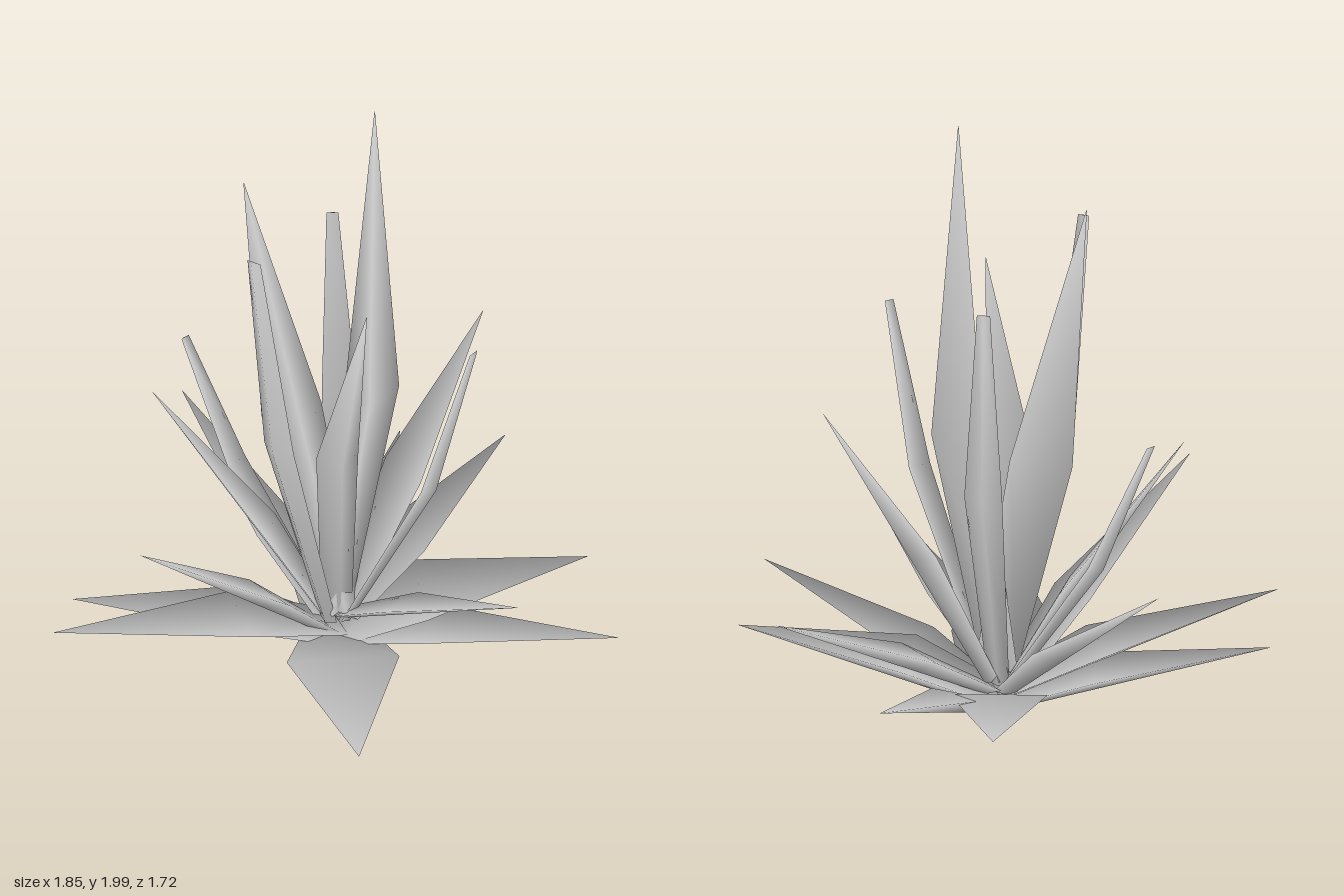
import * as THREE from 'three';

const CENTRE = new THREE.Vector3(-0.09, 0, 0.02);
const UP = new THREE.Vector3(0, 1, 0);

// One leaf: a closed three-sided spike with a flat inner face and a keel below,
// running root -> bend -> tip, smooth-shaded around its edges.
function leafGeometry({ tip, bend, root = 0, width, tipWidth = 0, depth = 0.55, rootWidth = 0.6 }) {
  const end = new THREE.Vector3(...tip);
  const out = end.clone().sub(CENTRE).setY(0).normalize();
  const start = CENTRE.clone().addScaledVector(out, root > 0.05 ? 0.06 : 0);
  start.y = root;
  const mid = bend ? new THREE.Vector3(...bend) : start.clone().lerp(end, 0.37);
  const side = new THREE.Vector3().crossVectors(UP, out);
  const keel = [start, mid, end];
  const half = [width * rootWidth, width, tipWidth || 0.001];
  const positions = [], normals = [];
  keel.forEach((point, i) => {
    const along = keel[Math.min(i + 1, 2)].clone().sub(keel[Math.max(i - 1, 0)]).normalize();
    const inner = new THREE.Vector3().crossVectors(along, side).normalize();
    // right edge, keel, left edge
    for (const u of [-1, 0, 1]) {
      const p = point.clone()
        .addScaledVector(side, half[i] * u)
        .addScaledVector(inner, half[i] * depth * Math.abs(u));
      positions.push(...p.toArray());
      // average of the faces meeting here, leaning towards the tip
      const n = side.clone().multiplyScalar(depth * u).sub(inner).normalize();
      if (u !== 0) n.add(inner);
      n.addScaledVector(along, i * 0.2);
      if (i === 2 && !tipWidth) n.copy(along);
      normals.push(...n.normalize().toArray());
    }
  });
  const index = [0, 2, 1, 6, 7, 8]; // root and tip caps
  for (let i = 0; i < 2; i++) {
    for (let j = 0; j < 3; j++) {
      const a = i * 3 + j, b = i * 3 + (j + 1) % 3, c = a + 3, d = b + 3;
      index.push(a, b, c, b, d, c);
    }
  }
  const geometry = new THREE.BufferGeometry();
  geometry.setAttribute('position', new THREE.Float32BufferAttribute(positions, 3));
  geometry.setAttribute('normal', new THREE.Float32BufferAttribute(normals, 3));
  geometry.setIndex(index);
  return geometry;
}

// Broad leaves spreading close to the ground
const lowerLeaves = [
  { tip: [0.92, 0.35, 0.17], width: 0.12 },
  { tip: [0.73, 0.30, -0.32], width: 0.18 },
  { tip: [-0.10, 0.35, -0.86], width: 0.11 },
  { tip: [-0.44, 0.30, -0.80], width: 0.16 },
  { tip: [-0.93, 0.255, 0.36], width: 0.14 },
  { tip: [-0.86, 0.35, 0.66], width: 0.14, root: 0.04 },
  { tip: [0.24, 0.26, 0.86], width: 0.19, depth: 0.4 },
];

// Pointed leaves rising at an angle
const middleLeaves = [
  { tip: [0.34, 0.50, -0.71], width: 0.11, root: 0.08 },
  { tip: [0.29, 1.13, -0.48], bend: [0.12, 0.6, -0.23], width: 0.10, root: 0.12 },
  { tip: [0.63, 0.60, 0.43], width: 0.08, root: 0.14 },
  { tip: [-0.50, 0.78, 0.73], width: 0.10, root: 0.07 },
  { tip: [-0.68, 1.00, 0.14], width: 0.09, root: 0.13 },
  { tip: [-0.80, 0.67, -0.41], width: 0.09, root: 0.08 },
];

// Narrow upright leaves with blunt ends
const bluntLeaves = [
  { tip: [-0.23, 1.66, 0.39], bend: [-0.20, 0.96, 0.33], width: 0.06, tipWidth: 0.025, root: 0.12 },
  { tip: [-0.22, 1.47, -0.40], bend: [-0.17, 0.85, -0.30], width: 0.06, tipWidth: 0.02, root: 0.12 },
  { tip: [-0.68, 1.05, -0.15], bend: [-0.50, 0.61, -0.09], width: 0.05, tipWidth: 0.02, root: 0.12 },
  { tip: [0.42, 1.35, 0.20], bend: [0.29, 0.79, 0.14], width: 0.05, tipWidth: 0.02, root: 0.12 },
];

// Tall pointed leaves at the heart
const heartLeaves = [
  { tip: [0.02, 1.99, -0.07], bend: [0.09, 1.0, -0.13], width: 0.10, depth: 1.5, root: 0.15, rootWidth: 0.7 },
  { tip: [-0.38, 1.74, 0.02], bend: [-0.34, 0.9, 0.03], width: 0.1, depth: 1.8, root: 0.15, rootWidth: 0.7 },
  { tip: [0.11, 1.50, 0.33], bend: [0.02, 0.92, 0.29], width: 0.07, depth: 0.9, root: 0.18, rootWidth: 0.8 },
];

export function createModel() {
  const plant = new THREE.Group();
  plant.name = 'spikyPlant';
  const material = new THREE.MeshStandardMaterial({ color: 0xcccccc });
  Object.entries({ lowerLeaves, middleLeaves, bluntLeaves, heartLeaves }).forEach(([name, leaves]) => {
    const tier = new THREE.Group();
    tier.name = name;
    leaves.forEach((leaf, i) => {
      const mesh = new THREE.Mesh(leafGeometry(leaf), material);
      mesh.name = `${name.replace('Leaves', 'Leaf')}${i + 1}`;
      tier.add(mesh);
    });
    plant.add(tier);
  });
  return plant;
}
